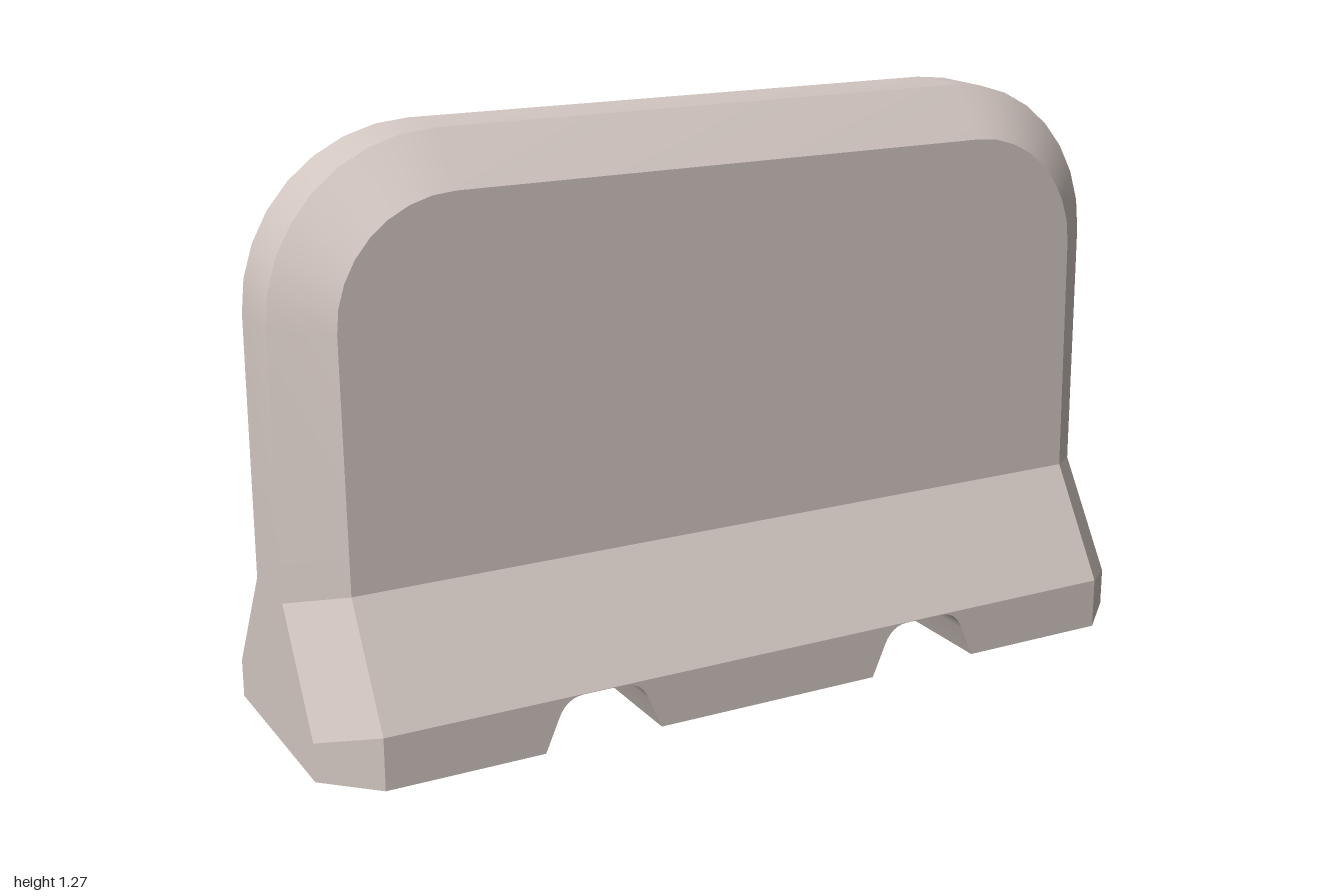
import * as THREE from 'three';
import { toCreasedNormals } from 'three/addons/utils/BufferGeometryUtils.js';

const concrete = new THREE.MeshStandardMaterial({ color: 0xd2c6c1 });
concrete.name = 'concrete';

const HALF = 0.888, END = 0.998;             // half length of the faces and of the whole block
const BASE = 0.342, BASE_END = 0.237;        // half depth at the foot, and after the bevel
const KICK = 0.115, WAIST = 0.36;            // heights where the section bends
const CORNER = { x: 0.628, y: 0.9 };         // centre of the rounded top corners

// Half depth of the upper wall on the face and on the bevel's outer edge
const wallZ = y => 0.19 - 0.015 * (y - WAIST) / 0.8;
const rimZ = y => 0.083 - 0.01 * (y - 0.33) / 0.94;

// Arch outline: up the right side, over the top, down the left side
function arch(lower, x, radius, depth) {
  const right = lower.map(([y, z]) => new THREE.Vector3(x, y, z));
  for (let i = 0; i <= 8; i++) {
    const a = i / 8 * Math.PI / 2;
    const y = CORNER.y + radius * Math.sin(a);
    right.push(new THREE.Vector3(CORNER.x + radius * Math.cos(a), y, depth(y)));
  }
  const left = right.map(p => new THREE.Vector3(-p.x, p.y, p.z)).reverse();
  return [...right, ...left];
}

const flipZ = points => points.map(p => new THREE.Vector3(p.x, p.y, -p.z));

// Surface between two rows of points
function ribbon(a, b) {
  const pos = [];
  for (let i = 0; i < a.length - 1; i++) {
    for (const p of [a[i], a[i + 1], b[i + 1], a[i], b[i + 1], b[i]]) pos.push(p.x, p.y, p.z);
  }
  const g = new THREE.BufferGeometry();
  g.setAttribute('position', new THREE.Float32BufferAttribute(pos, 3));
  return toCreasedNormals(g, 0.38);
}

// Flat outline in x and y, pushed to a depth that depends on height
function sheet(points, depth) {
  const g = new THREE.ShapeGeometry(new THREE.Shape(points.map(p => new THREE.Vector2(p.x, p.y))));
  const pos = g.attributes.position;
  for (let i = 0; i < pos.count; i++) pos.setZ(i, depth(pos.getY(i)));
  g.computeVertexNormals();
  return g;
}

// Rounded drainage slot outline, left to right
function slotOutline(cx) {
  const half = [[-0.135, 0], [-0.105, 0.07]];
  const curve = new THREE.QuadraticBezierCurve(
    new THREE.Vector2(-0.105, 0.07), new THREE.Vector2(-0.088, 0.114), new THREE.Vector2(-0.045, 0.114));
  curve.getPoints(6).slice(1).forEach(p => half.push([p.x, p.y]));
  const full = [...half, ...half.map(([x, y]) => [-x, y]).reverse()];
  return full.map(([x, y]) => new THREE.Vector3(cx + x, y, BASE));
}

export function createModel() {
  const model = new THREE.Group();
  model.name = 'concreteBarrier';
  const add = (name, geometry, parent = model) => {
    const mesh = new THREE.Mesh(geometry, concrete);
    mesh.name = name;
    parent.add(mesh);
  };

  const inner = arch([[0, BASE], [KICK, BASE], [WAIST, wallZ(WAIST)]], HALF, 0.26, wallZ);
  const outer = arch([[0, BASE_END], [0.085, BASE_END], [0.33, 0.083]], END, 0.37, rimZ);
  const slots = [-0.402, 0.402].map(slotOutline);

  // Both long sides: kick board, sloped foot, wall panel and bevel
  for (const [name, turn] of [['frontSide', 0], ['backSide', Math.PI]]) {
    const side = new THREE.Group();
    side.name = name;
    side.rotation.y = turn;
    const V = (x, y) => new THREE.Vector2(x, y);
    add('kickBoard', sheet(
      [V(-HALF, 0), ...slots.flat(), V(HALF, 0), V(HALF, KICK), V(-HALF, KICK)], () => BASE), side);
    add('slopedFoot', sheet(
      [V(-HALF, KICK), V(HALF, KICK), V(HALF, WAIST), V(-HALF, WAIST)],
      y => BASE + (wallZ(WAIST) - BASE) * (y - KICK) / (WAIST - KICK)), side);
    add('wallPanel', sheet(inner.slice(2, -2), wallZ), side);
    add('bevel', ribbon(outer, inner), side);
    model.add(side);
  }

  // Ends and top in one band
  add('endsAndTop', ribbon(flipZ(outer), outer));

  // Slots running through the foot
  slots.forEach(s => add('drainSlot', ribbon(flipZ(s), s)));

  // Underside pads between the slots
  const pad = points => {
    const g = new THREE.ShapeGeometry(new THREE.Shape(points.map(([x, z]) => new THREE.Vector2(x, z))));
    return g.rotateX(Math.PI / 2);
  };
  add('middlePad', pad([[-0.267, -BASE], [0.267, -BASE], [0.267, BASE], [-0.267, BASE]]));
  for (const s of [-1, 1]) {
    add('endPad', pad([[0.537, -BASE], [HALF, -BASE], [END, -BASE_END],
      [END, BASE_END], [HALF, BASE], [0.537, BASE]].map(([x, z]) => [s * x, z])));
  }

  // The barrier stands at an angle
  model.rotation.y = 0.459;
  const root = new THREE.Group();
  root.name = 'barrier';
  root.add(model);
  return root;
}
